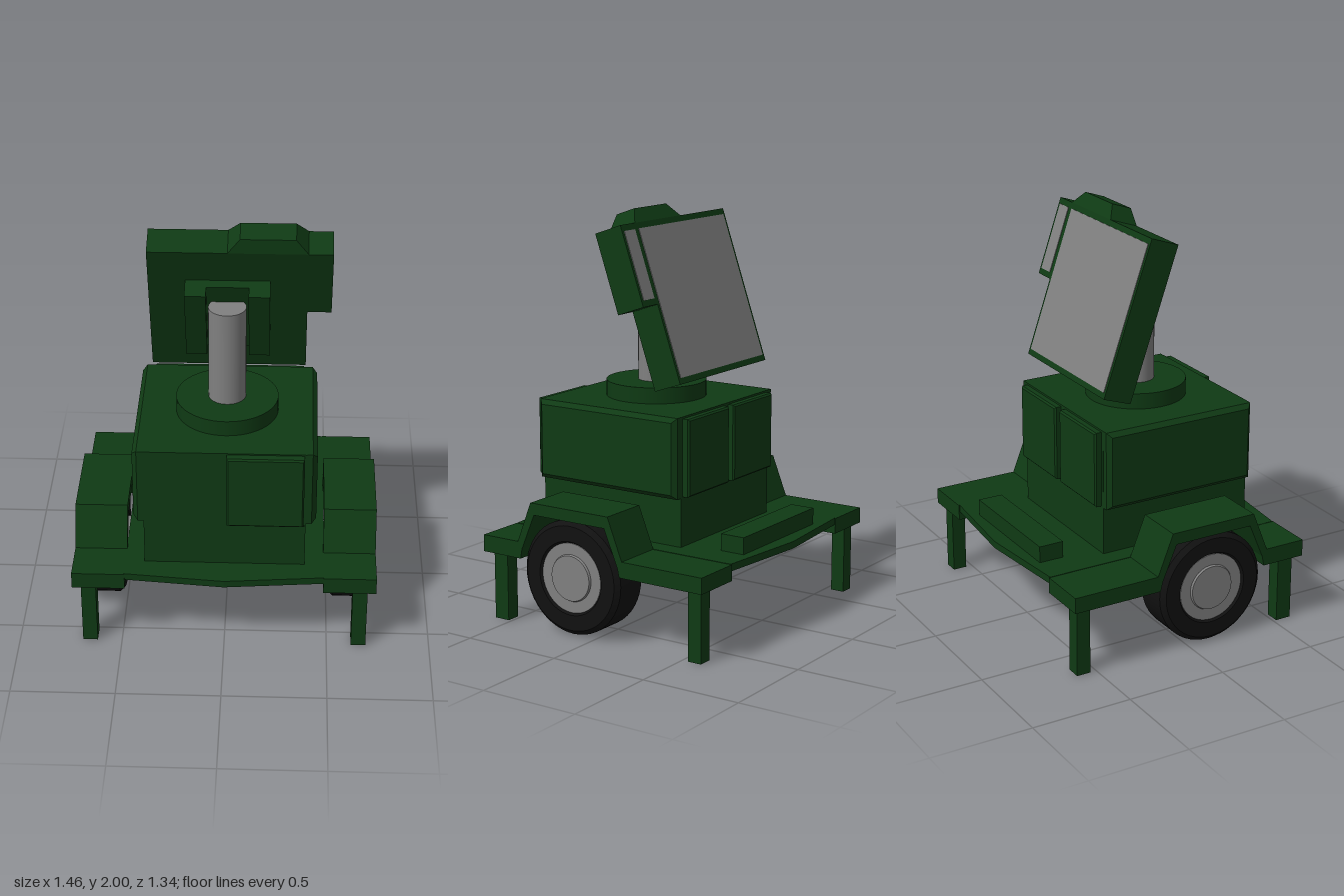
import * as THREE from 'three';
import { toCreasedNormals } from 'three/addons/utils/BufferGeometryUtils.js';

export function createModel() {
  const model = new THREE.Group();
  model.name = 'trailerDisplay';
  const green = new THREE.MeshStandardMaterial({ color: 0x0f3a14 });
  const grey = new THREE.MeshStandardMaterial({ color: 0x808080 });
  const black = new THREE.MeshStandardMaterial({ color: 0x111111 });

  const add = (name, geo, mat, parent = model) => {
    const mesh = new THREE.Mesh(geo, mat);
    mesh.name = name;
    parent.add(mesh);
    return mesh;
  };
  // Box given by its limits on each axis
  const box = (name, [x0, x1], [y0, y1], [z0, z1], mat = green, parent = model) =>
    add(name, new THREE.BoxGeometry(x1 - x0, y1 - y0, z1 - z0)
      .translate((x0 + x1) / 2, (y0 + y1) / 2, (z0 + z1) / 2), mat, parent);
  const outline = (pts) => new THREE.Shape(pts.map(([x, y]) => new THREE.Vector2(x, y)));
  // Raised panel with a bevelled rim, standing out along +z from z = 0
  const raisedPanel = (w, h, depth, bevel) => {
    const x = w / 2, y = h / 2;
    return new THREE.ExtrudeGeometry(outline([[-x, -y], [x, -y], [x, y], [-x, y]]), {
      depth: depth - bevel, bevelThickness: bevel, bevelSize: bevel, bevelOffset: -bevel, bevelSegments: 1,
    });
  };

  // Pointed deck between the fenders
  const deck = outline([[-0.48, -0.625], [0, -0.67], [0.48, -0.625], [0.48, 0.625], [0, 0.67], [-0.48, 0.625]]);
  add('deck', new THREE.ExtrudeGeometry(deck, { depth: 0.035, bevelEnabled: false })
    .rotateX(-Math.PI / 2).translate(0, 0.39, 0), green);

  // Bent side fenders: flat ends and a raised arch over the wheel
  const fender = outline([
    [0.63, 0.34], [0.63, 0.423], [0.42, 0.423], [0.34, 0.625], [-0.11, 0.625], [-0.19, 0.423], [-0.63, 0.423],
    [-0.63, 0.345], [-0.175, 0.345], [-0.165, 0.39], [-0.09, 0.567], [0.32, 0.567], [0.395, 0.39], [0.405, 0.34],
  ]);
  const wheelZ = 0.12, wheelY = 0.286;
  const lathe = (pts) => toCreasedNormals(
    new THREE.LatheGeometry(pts.map(([r, y]) => new THREE.Vector2(r, y)), 48), 0.6);
  const tire = lathe([[0.16, 0.52], [0.17, 0.508], [0.255, 0.508], [0.278, 0.53], [0.278, 0.693],
    [0.255, 0.715], [0.18, 0.715], [0.17, 0.70], [0.16, 0.695]]);
  const hub = lathe([[0, 0.515], [0.17, 0.515], [0.17, 0.705], [0.115, 0.705], [0.11, 0.715], [0, 0.715]]);

  for (const s of [1, -1]) {
    const side = s > 0 ? 'left' : 'right';
    add(side + 'Fender', new THREE.ExtrudeGeometry(fender, { depth: 0.254, bevelEnabled: false })
      .rotateY(-Math.PI / 2).translate(s > 0 ? 0.73 : -0.476, 0, 0), green);

    const wheel = new THREE.Group();
    wheel.name = side + 'Wheel';
    wheel.position.set(0, wheelY, wheelZ);
    wheel.rotation.z = -s * Math.PI / 2;
    add('tire', tire, black, wheel);
    add('hub', hub, grey, wheel);
    model.add(wheel);

    // Support legs
    const legX = [s * 0.655 - 0.036, s * 0.655 + 0.036];
    box(side + 'FrontLeg', legX, [0, 0.36], [0.517, 0.597]);
    box(side + 'BackLeg', legX, [0, 0.36], [-0.602, -0.532]);

    // Cabinet side panel and back door
    add(side + 'SidePanel', raisedPanel(0.803, 0.39, 0.055, 0.022)
      .rotateY(s * Math.PI / 2).translate(s * 0.38, 0.857, 0.117), green);
    add(side + 'BackDoor', raisedPanel(0.35, 0.375, 0.037, 0.008)
      .rotateY(Math.PI).translate(s * 0.195, 0.855, -0.283), green);
  }

  add('axle', new THREE.CylinderGeometry(0.103, 0.103, 1.04, 32)
    .rotateZ(Math.PI / 2).translate(0, wheelY, wheelZ), grey);

  // Cabinet
  box('cabinet', [-0.385, 0.385], [0.42, 1.052], [-0.285, 0.52]);
  add('frontDoor', raisedPanel(0.365, 0.378, 0.045, 0.008).translate(0.193, 0.857, 0.518), green);
  box('frontHatch', [0.01, 0.38], [0.477, 0.652], [0.51, 0.525]);
  box('rearStorageBox', [-0.32, 0.32], [0.42, 0.507], [-0.593, -0.468]);

  // Turntable and mast
  add('turntable', new THREE.CylinderGeometry(0.246, 0.246, 0.08, 48).translate(0, 1.09, wheelZ), green);
  add('mast', new THREE.CylinderGeometry(0.09, 0.09, 0.5, 32).translate(0, 1.36, wheelZ), grey);

  // Tilted display head, screens facing back and up
  const head = new THREE.Group();
  head.name = 'displayHead';
  head.position.set(0, 1.547, -0.076);
  head.rotation.x = 0.333;
  model.add(head);
  const top = 0.389, half = 0.0755;
  box('displayHousing', [-0.375, 0.375], [-top, top], [-half, half], green, head);
  box('mainScreen', [-0.36, 0.36], [-0.36, 0.36], [-half - 0.003, -half + 0.01], grey, head);
  box('sideHousing', [0.37, 0.49], [-0.002, top], [-half, half], green, head);
  box('sideScreen', [0.39, 0.475], [0.028, 0.359], [-half - 0.003, -half + 0.01], grey, head);

  // Tapered cap: a box whose top corners are pulled inwards
  let cap = new THREE.BoxGeometry(0.375, 0.07, half * 2);
  const p = cap.attributes.position;
  for (let i = 0; i < p.count; i++) {
    if (p.getY(i) > 0) p.setXYZ(i, p.getX(i) * 0.69, p.getY(i), p.getZ(i) * 0.71);
  }
  cap = cap.toNonIndexed();
  cap.computeVertexNormals();
  add('topCap', cap.translate(0.1875, top + 0.035, 0), green, head);

  // Mounting bracket: two rails with a shallower plate between them
  for (const s of [1, -1]) {
    box(s > 0 ? 'leftMountRail' : 'rightMountRail', [s * 0.15 - 0.05, s * 0.15 + 0.05],
      [-0.2, 0.207], [half - 0.01, half + 0.105], green, head);
  }
  box('mountPlate', [-0.1, 0.1], [-0.2, 0.207], [half - 0.01, half + 0.045], green, head);

  return model;
}
